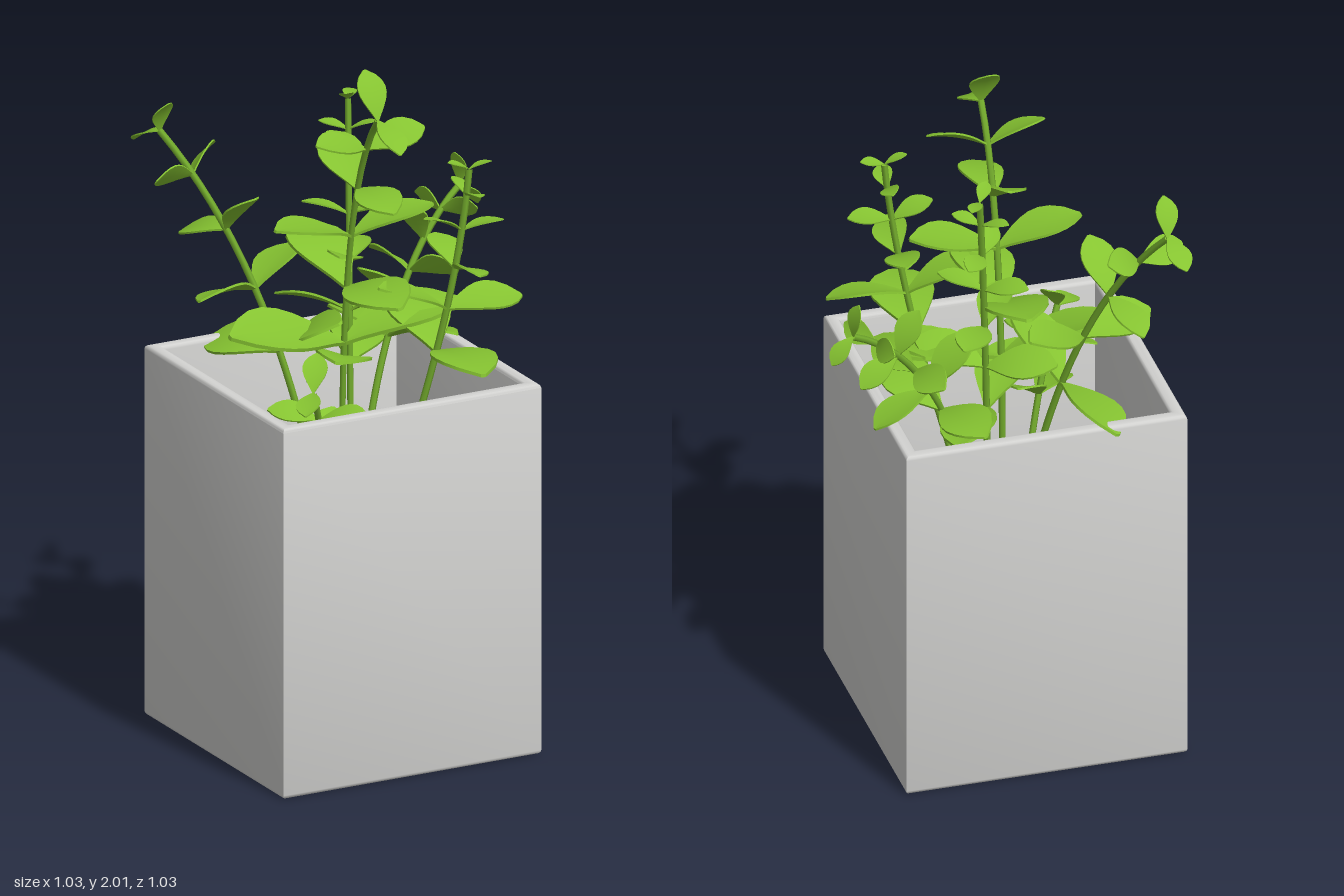
import * as THREE from 'three';
import { mergeGeometries, toCreasedNormals } from 'three/addons/utils/BufferGeometryUtils.js';

const { lerp, degToRad } = THREE.MathUtils;
const POT = { x: -0.077, z: 0.042, half: 0.4125, inner: 0.373, height: 1.105, soil: 0.6 };

// Leaf of unit length along +x: thick closed sections of left, middle and right
function makeLeaf() {
  const pos = [], index = [], steps = 8, thick = 0.03;
  for (let r = 0; r <= steps; r++) {
    const u = r / steps;
    const w = 0.025 + 0.275 * Math.max(0, Math.sin(Math.PI * u ** 1.35)) ** 0.8;
    const y = 0.16 * u - 0.24 * u * u;
    const edge = y + w * 0.12;
    pos.push(u, edge, -w, u, y, 0, u, edge, w);
    pos.push(u, edge - thick, w, u, y - thick, 0, u, edge - thick, -w);
  }
  for (let r = 0; r < steps; r++) {
    for (let k = 0; k < 6; k++) {
      const a = r * 6 + k, b = r * 6 + (k + 1) % 6;
      index.push(a, b, a + 6, b, b + 6, a + 6);
    }
  }
  const e = steps * 6;
  for (const [a, b, c, d] of [[0, 5, 4, 1], [1, 4, 3, 2], [e, e + 1, e + 4, e + 5], [e + 1, e + 2, e + 3, e + 4]]) {
    index.push(a, b, c, a, c, d);
  }
  const geo = new THREE.BufferGeometry();
  geo.setAttribute('position', new THREE.Float32BufferAttribute(pos, 3));
  geo.setIndex(index);
  return toCreasedNormals(geo, 0.6);
}

// Curve parameter at a given height (every stem climbs steadily)
function paramAtHeight(curve, y) {
  let lo = 0, hi = 1;
  for (let i = 0; i < 24; i++) {
    const mid = (lo + hi) / 2;
    if (curve.getPoint(mid).y < y) lo = mid; else hi = mid;
  }
  return lo;
}

// Places a leaf square to the stem, lifted by its rise and rolled about its own length
function placeLeaf(leaf, base, tangent, azimuth, length, rise, roll) {
  const out = new THREE.Vector3(Math.cos(azimuth), 0, Math.sin(azimuth));
  out.addScaledVector(tangent, -out.dot(tangent)).normalize();
  const dir = out.multiplyScalar(Math.cos(rise)).addScaledVector(tangent, Math.sin(rise));
  const side = new THREE.Vector3().crossVectors(dir, tangent).normalize().applyAxisAngle(dir, roll);
  const normal = new THREE.Vector3().crossVectors(side, dir);
  const m = new THREE.Matrix4().makeBasis(dir, normal, side);
  m.scale(new THREE.Vector3(length, length, length)).setPosition(base);
  return leaf.clone().applyMatrix4(m);
}

function square(h, Type = THREE.Shape) {
  return new Type([[-h, -h], [h, -h], [h, h], [-h, h]].map(([x, y]) => new THREE.Vector2(x, y)));
}

export function createModel() {
  const group = new THREE.Group();
  const mat = (name, color) => Object.assign(new THREE.MeshStandardMaterial({ color }), { name });
  const concrete = mat('concrete', 0xd2d2d0);
  const earth = mat('earth', 0x47200b);
  const leafGreen = mat('leafGreen', 0x86c431);
  const stemGreen = mat('stemGreen', 0x72aa2c);
  const add = (parent, name, geo, material) => {
    const mesh = new THREE.Mesh(geo, material);
    mesh.name = name;
    parent.add(mesh);
  };

  // Square pot: bevelled wall, floor and soil
  const bevel = 0.012;
  const outline = square(POT.half - bevel);
  outline.holes.push(square(POT.inner + bevel, THREE.Path));
  const wall = new THREE.ExtrudeGeometry(outline, {
    depth: POT.height - 2 * bevel, bevelSize: bevel, bevelThickness: bevel, bevelSegments: 3,
  }).rotateX(-Math.PI / 2).translate(POT.x, bevel, POT.z);
  add(group, 'potWall', toCreasedNormals(wall, 0.7), concrete);
  const slab = (w, y0, y1) => new THREE.BoxGeometry(w, y1 - y0, w).translate(POT.x, (y0 + y1) / 2, POT.z);
  add(group, 'potFloor', slab(2 * POT.half - 0.03, 0, 0.05), concrete);
  add(group, 'soil', slab(2 * POT.inner + 0.01, POT.soil - 0.04, POT.soil), earth);

  // A bent stem with opposite leaf pairs, each turned a quarter from the last,
  // growing shorter, closer and more upright towards the tip
  const leaf = makeLeaf();
  const addSprig = (name, root, bend, tip, count, firstHeight, azimuth, longest, shortest) => {
    const sprig = new THREE.Group();
    sprig.name = name;
    const curve = new THREE.QuadraticBezierCurve3(...[root, bend, tip].map((p) => new THREE.Vector3(...p)));
    add(sprig, 'stem', new THREE.TubeGeometry(curve, 20, 0.01, 6), stemGreen);
    const leaves = [];
    for (let i = 0; i < count; i++) {
      const u = i / (count - 1);
      const t = paramAtHeight(curve, lerp(firstHeight, tip[1], 1 - (1 - u) ** 1.2));
      const base = curve.getPoint(t), tangent = curve.getTangent(t);
      const length = longest * (shortest / longest) ** u;
      for (const turn of [0, 180]) {
        const angle = degToRad(azimuth + 90 * (i % 2) + turn);
        const roll = degToRad(14 * Math.sin(2.3 * i + turn + azimuth));
        leaves.push(placeLeaf(leaf, base, tangent, angle, length, degToRad(lerp(16, 22, u)), roll));
      }
    }
    add(sprig, 'leaves', mergeGeometries(leaves), leafGreen);
    group.add(sprig);
  };

  addSprig('centreSprig', [-0.055, 0.58, 0], [-0.055, 1.6, -0.03], [-0.055, 1.88, 0.21], 6, 1.16, 0, 0.37, 0.15);
  addSprig('frontLeftSprig', [0, 0.58, 0.1], [0.18, 1.25, 0.24], [0.22, 1.7, 0.24], 6, 1.16, 95, 0.31, 0.07);
  addSprig('backLeftSprig', [0.02, 0.58, -0.05], [0.13, 1.28, -0.13], [0.46, 1.46, -0.26], 6, 1.1, 70, 0.24, 0.1);
  addSprig('backRightSprig', [-0.1, 0.58, -0.02], [-0.2, 1.35, -0.1], [-0.42, 1.72, -0.41], 5, 1.12, 70, 0.28, 0.12);
  addSprig('backSprig', [0, 0.58, -0.05], [0.02, 1.3, -0.1], [0.07, 1.8, -0.2], 7, 1.06, -55, 0.27, 0.07);
  addSprig('shortFrontSprig', [-0.15, 0.58, 0.12], [-0.22, 0.95, 0.2], [-0.3, 1.13, 0.28], 3, 0.9, 130, 0.18, 0.12);
  return group;
}
